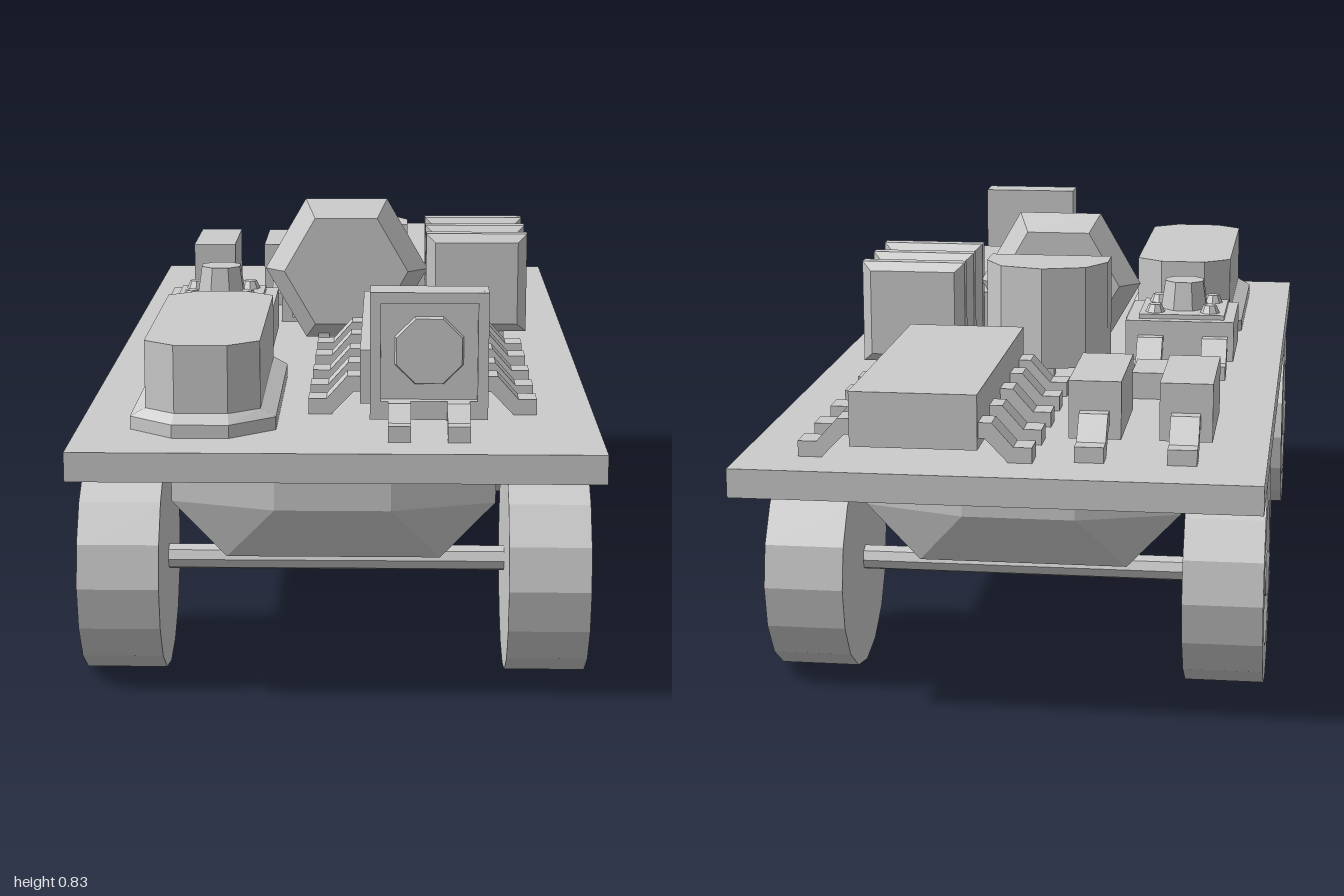
import * as THREE from 'three';
import { ConvexGeometry } from 'three/addons/geometries/ConvexGeometry.js';

const TOP = 0.505; // upper surface of the board

export function createModel() {
  const model = new THREE.Group();
  const grey = new THREE.MeshStandardMaterial({ color: 0xcccccc, flatShading: true });
  const V = (x, y, z) => new THREE.Vector3(x, y, z);

  function add(name, geometry, x = 0, y = 0, z = 0) {
    const mesh = new THREE.Mesh(geometry, grey);
    mesh.name = name;
    mesh.position.set(x, y, z);
    model.add(mesh);
    return mesh;
  }

  // Box given by its limits on each axis
  const box = (name, x0, x1, y0, y1, z0, z1) =>
    add(name, new THREE.BoxGeometry(x1 - x0, y1 - y0, z1 - z0),
      (x0 + x1) / 2, (y0 + y1) / 2, (z0 + z1) / 2);

  // Bent metal lead running from a component body down to the board
  function lead(x, z, angle, length = 0.1, top = 0.075, width = 0.055) {
    const s = new THREE.Shape([
      [-0.01, top], [length * 0.25, top], [length * 0.65, 0.03], [length, 0.03],
      [length, 0], [length * 0.55, 0], [length * 0.12, top - 0.03], [-0.01, top - 0.03],
    ].map(([u, v]) => new THREE.Vector2(u, v)));
    const g = new THREE.ExtrudeGeometry(s, { depth: width, bevelEnabled: false });
    g.translate(0, 0, -width / 2);
    add('lead', g, x, TOP, z).rotation.y = angle;
  }
  const RIGHT = Math.PI, FRONT = -Math.PI / 2, BACK = Math.PI / 2;

  box('board', -0.49, 0.49, 0.45, TOP, -1, 1);

  // Chassis: faceted axle housings joined by a central beam
  for (const z of [0.69, -0.595]) {
    const pts = [];
    for (const sx of [-1, 1]) for (const sz of [-1, 1]) {
      for (const [x, y, d] of [[0.11, 0.45, 0.14], [0.11, 0.35, 0.14], [0.205, 0.45, 0.075],
        [0.205, 0.24, 0.075], [0.31, 0.45, 0.075], [0.31, 0.35, 0.075]]) {
        pts.push(V(sx * x, y, sz * d));
      }
    }
    add('axleHousing', new ConvexGeometry(pts), -0.01, 0, z);
    const shaft = add('axleShaft', new THREE.CylinderGeometry(0.025, 0.025, 0.7, 8), -0.006, 0.217, z);
    shaft.rotation.z = Math.PI / 2;
  }
  box('chassisBeam', -0.12, 0.1, 0.35, 0.46, -0.5, 0.6);

  // Wheels: dished outer face with a protruding nut
  const wheelProfile = [[0, 0], [0.215, 0], [0.215, 0.154], [0.145, 0.154], [0.115, 0.125], [0, 0.125]];
  const wheelGeo = new THREE.LatheGeometry(wheelProfile.map(p => new THREE.Vector2(...p)), 16);
  const nutProfile = [[0.048, 0], [0.048, 0.028], [0.04, 0.034], [0.025, 0.034], [0.018, 0.026], [0, 0.026]];
  const nutGeo = new THREE.LatheGeometry(nutProfile.map(p => new THREE.Vector2(...p)), 8);
  for (const z of [0.69, -0.6]) for (const side of [-1, 1]) {
    const wheel = add('wheel', wheelGeo, -0.006 + side * 0.327, 0.216, z);
    wheel.rotation.z = -side * Math.PI / 2;
    const nut = new THREE.Mesh(nutGeo, grey);
    nut.name = 'wheelNut';
    nut.position.y = 0.125;
    wheel.add(nut);
  }

  // Two long chips with five leads on each side
  for (const [z0, z1, legs] of [
    [-0.91, -0.29, [-0.87, -0.735, -0.595, -0.46, -0.335]],
    [0.085, 0.71, [0.13, 0.26, 0.405, 0.54, 0.665]],
  ]) {
    box('chip', 0.04, 0.28, 0.53, 0.635, z0, z1);
    for (const z of legs) {
      lead(0.28, z, 0);
      lead(0.04, z, RIGHT);
    }
  }

  // Upright front sensor: framed recess with an octagonal lens
  const frame = new THREE.Shape();
  frame.moveTo(-0.11, -0.12).lineTo(0.11, -0.12).lineTo(0.11, 0.12).lineTo(-0.11, 0.12).closePath();
  const hole = new THREE.Path();
  hole.moveTo(-0.09, -0.085).lineTo(-0.09, 0.1).lineTo(0.09, 0.1).lineTo(0.09, -0.085).closePath();
  frame.holes.push(hole);
  add('sensorFrame', new THREE.ExtrudeGeometry(frame, { depth: 0.02, bevelEnabled: false }), 0.17, 0.65, 0.82);
  box('sensorBody', 0.06, 0.28, 0.53, 0.77, 0.767, 0.822);
  const lensGeo = new THREE.CylinderGeometry(0.066, 0.07, 0.012, 8);
  lensGeo.rotateY(Math.PI / 8);
  lensGeo.rotateX(Math.PI / 2);
  add('sensorLens', lensGeo, 0.17, 0.658, 0.826);
  for (const x of [0.115, 0.225]) {
    lead(x, 0.84, FRONT, 0.075, 0.06, 0.042);
    lead(x, 0.77, BACK, 0.05, 0.06, 0.042);
  }

  // Long can with clipped corners on a bevelled flange
  const outline = (w, l, clipX, clipZ, y) => {
    const pts = [];
    for (const sx of [-1, 1]) for (const sz of [-1, 1]) {
      pts.push(V(sx * w, y, sz * (l - clipZ)), V(sx * (w - clipX), y, sz * l));
    }
    return pts;
  };
  add('canFlange', new ConvexGeometry([
    ...outline(0.137, 0.303, 0.084, 0.07, TOP), ...outline(0.137, 0.303, 0.084, 0.07, 0.53),
    ...outline(0.108, 0.278, 0.058, 0.045, 0.546),
  ]), -0.2525, 0, 0.588);
  add('can', new ConvexGeometry([
    ...outline(0.108, 0.278, 0.058, 0.045, 0.54), ...outline(0.108, 0.278, 0.058, 0.045, 0.675),
  ]), -0.2525, 0, 0.588);

  // Push button with corner rivets
  box('buttonBase', -0.39, -0.155, 0.525, 0.612, -0.08, 0.155);
  box('buttonPlate', -0.368, -0.182, 0.61, 0.622, -0.056, 0.131);
  const capGeo = new THREE.CylinderGeometry(0.045, 0.055, 0.065, 8);
  capGeo.rotateY(Math.PI / 8);
  add('buttonCap', capGeo, -0.275, 0.651, 0.038);
  for (const sx of [-1, 1]) {
    for (const sz of [-1, 1]) {
      add('rivet', new THREE.CylinderGeometry(0.014, 0.022, 0.018, 8), -0.275 + sx * 0.06, 0.63, 0.038 + sz * 0.06);
    }
    lead(-0.28 + sx * 0.07, 0.155, FRONT, 0.095);
    lead(-0.28 + sx * 0.07, -0.08, BACK, 0.095);
  }

  // Two block resistors at the back
  for (const x of [-0.335, -0.163]) {
    box('resistor', x - 0.05, x + 0.05, 0.525, 0.637, -0.78, -0.535);
    lead(x, -0.78, BACK);
    lead(x, -0.535, FRONT);
  }

  // Three small surface parts
  for (const x of [-0.333, -0.228, -0.123]) {
    box('smallBlock', x - 0.033, x + 0.033, TOP, 0.56, -0.363, -0.23);
  }

  // Transistor: faceted round back, flat front, three short legs
  const half = [[-0.125, -0.095], [-0.125, -0.17], [-0.085, -0.24], [0.005, -0.268],
    [0.095, -0.24], [0.135, -0.17], [0.135, -0.095]];
  add('transistor', new ConvexGeometry(half.flatMap(([x, z]) => [V(x, 0.54, z), V(x, 0.755, z)])));
  for (const x of [-0.07, 0.005, 0.08]) box('transistorLeg', x - 0.015, x + 0.015, TOP, 0.545, -0.175, -0.145);

  // Upright hexagonal disc, thickest at its bevelled rim
  const discPts = [];
  for (let i = 0; i < 6; i++) {
    const c = Math.cos(i * Math.PI / 3), s = Math.sin(i * Math.PI / 3);
    for (const [r, z] of [[0.178, 0], [0.135, 0.045], [0.135, -0.045]]) discPts.push(V(r * c, r * s, z));
  }
  add('hexDisc', new ConvexGeometry(discPts), 0, 0.675, 0.023);
  for (const x of [-0.05, 0.05]) box('discLeg', x - 0.012, x + 0.012, TOP, 0.54, 0.011, 0.035);

  // Three upright plate capacitors with bevelled edges
  for (const z of [-0.21, -0.09, 0.032]) {
    const pts = [];
    for (const sx of [-1, 1]) for (const sy of [-1, 1]) for (const sz of [-1, 1]) {
      pts.push(V(sx * 0.11, sy * 0.108, sz * 0.014), V(sx * 0.09, sy * 0.09, sz * 0.03));
    }
    add('capacitor', new ConvexGeometry(pts), 0.285, 0.648, z);
    for (const x of [0.235, 0.335]) box('capacitorLeg', x - 0.012, x + 0.012, TOP, 0.55, z - 0.012, z + 0.012);
  }

  return model;
}
